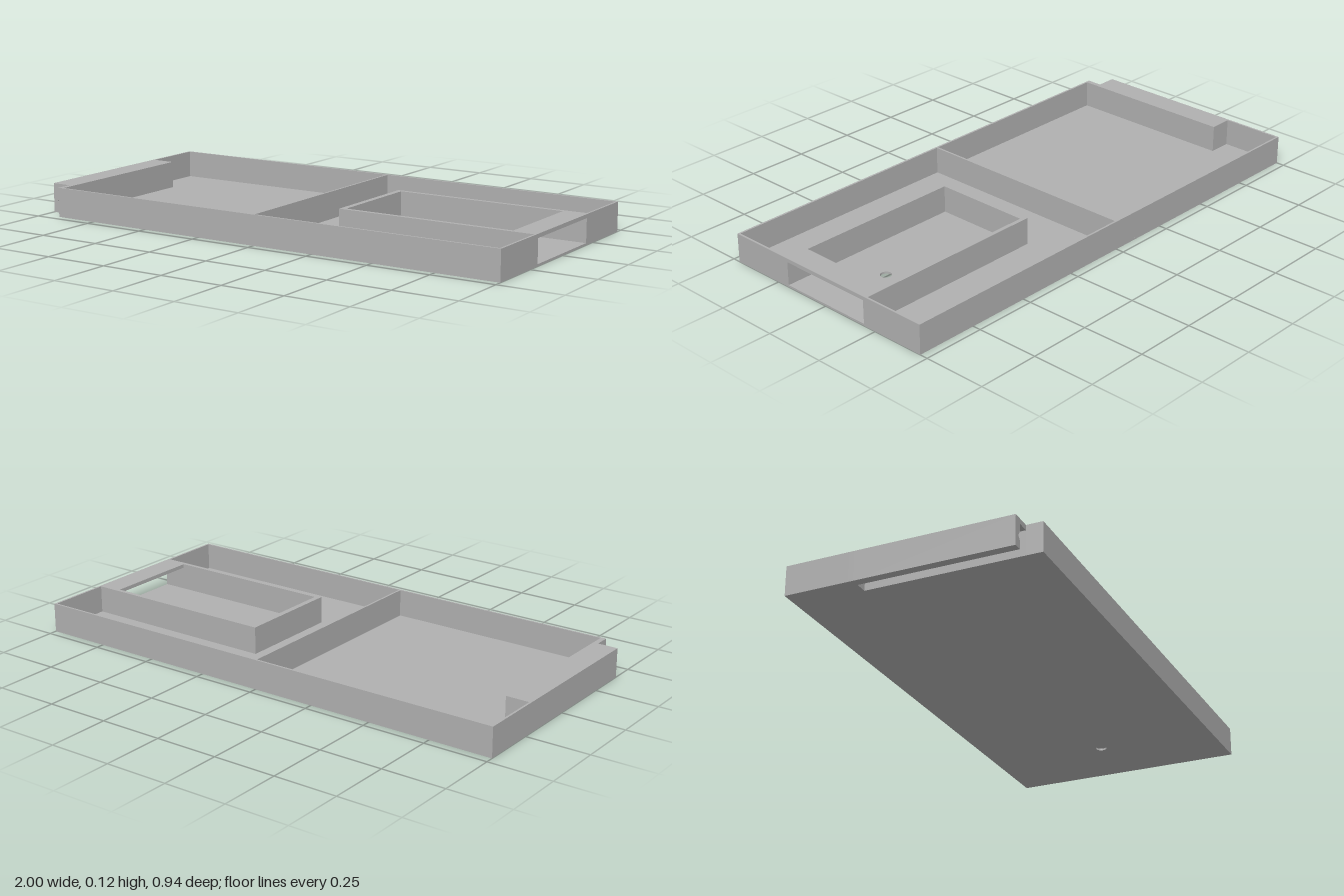
import * as THREE from 'three';

const H = 0.115;   // overall height
const T = 0.008;   // floor and wall thickness
const X = 1, Z = 0.468;

export function createModel() {
  const model = new THREE.Group();
  const grey = new THREE.MeshStandardMaterial({ color: 0xb0b0b0 });
  grey.name = 'grey plastic';

  const add = (name, geometry) => {
    const mesh = new THREE.Mesh(geometry, grey);
    mesh.name = name;
    model.add(mesh);
  };
  // Box given by its limits on each axis
  const block = (name, x0, x1, z0, z1, y0 = T, y1 = H) => add(name,
    new THREE.BoxGeometry(x1 - x0, y1 - y0, z1 - z0)
      .translate((x0 + x1) / 2, (y0 + y1) / 2, (z0 + z1) / 2));
  const outline = (points) => new THREE.Shape(points.map(([a, b]) => new THREE.Vector2(a, b)));

  // Floor, cut away under the latch channel and pierced by a round hole
  const floor = outline([[-X, -Z], [X, -Z], [X, Z], [-0.92, Z], [-0.92, -0.2], [-X, -0.2]]);
  const hole = new THREE.Path();
  hole.absarc(0.715, 0, 0.022, 0, Math.PI * 2, true);
  floor.holes.push(hole);
  add('floor', new THREE.ExtrudeGeometry(floor, { depth: T, bevelEnabled: false, curveSegments: 24 })
    .rotateX(Math.PI / 2).translate(0, T, 0));

  // Outer walls and middle divider
  block('backWall', -X, X, -Z, -Z + T);
  block('frontWall', -0.92, X, Z - T, Z);
  block('rightEndWall', -X, -X + T, -Z + T, -0.22);
  block('divider', -T / 2, T / 2, -Z + T, Z - T);

  // Inner compartment, open through the left end below a bridge
  block('compartmentEndWall', 0.203, 0.225, -0.195, 0.195);
  for (const s of [-1, 1]) {
    const span = (a, b) => (s > 0 ? [a, b] : [-b, -a]);
    block('compartmentSideWall', 0.203, X, ...span(0.195, 0.211));
    block('leftEndWall', X - T, X, ...span(0.211, Z - T));
  }
  block('compartmentBridge', 0.905, X, -0.195, 0.195, 0.1, H);

  // Latch housing: channel open at the bottom and front, with a grooved lip
  const profile = outline([
    [-X, 0], [-0.967, 0], [-0.967, 0.032], [-0.979, 0.046], [-0.967, 0.068],
    [-0.967, 0.095], [-0.92, 0.095], [-0.92, T], [-0.9, T], [-0.9, H], [-X, H],
  ]);
  add('latchHousing', new THREE.ExtrudeGeometry(profile, { depth: 0.605, bevelEnabled: false })
    .translate(0, 0, -0.2));
  block('latchEndWall', -X, -0.9, -0.22, -0.2);
  block('latchSideWall', -0.92, -0.9, 0.405, Z - T);

  return model;
}
